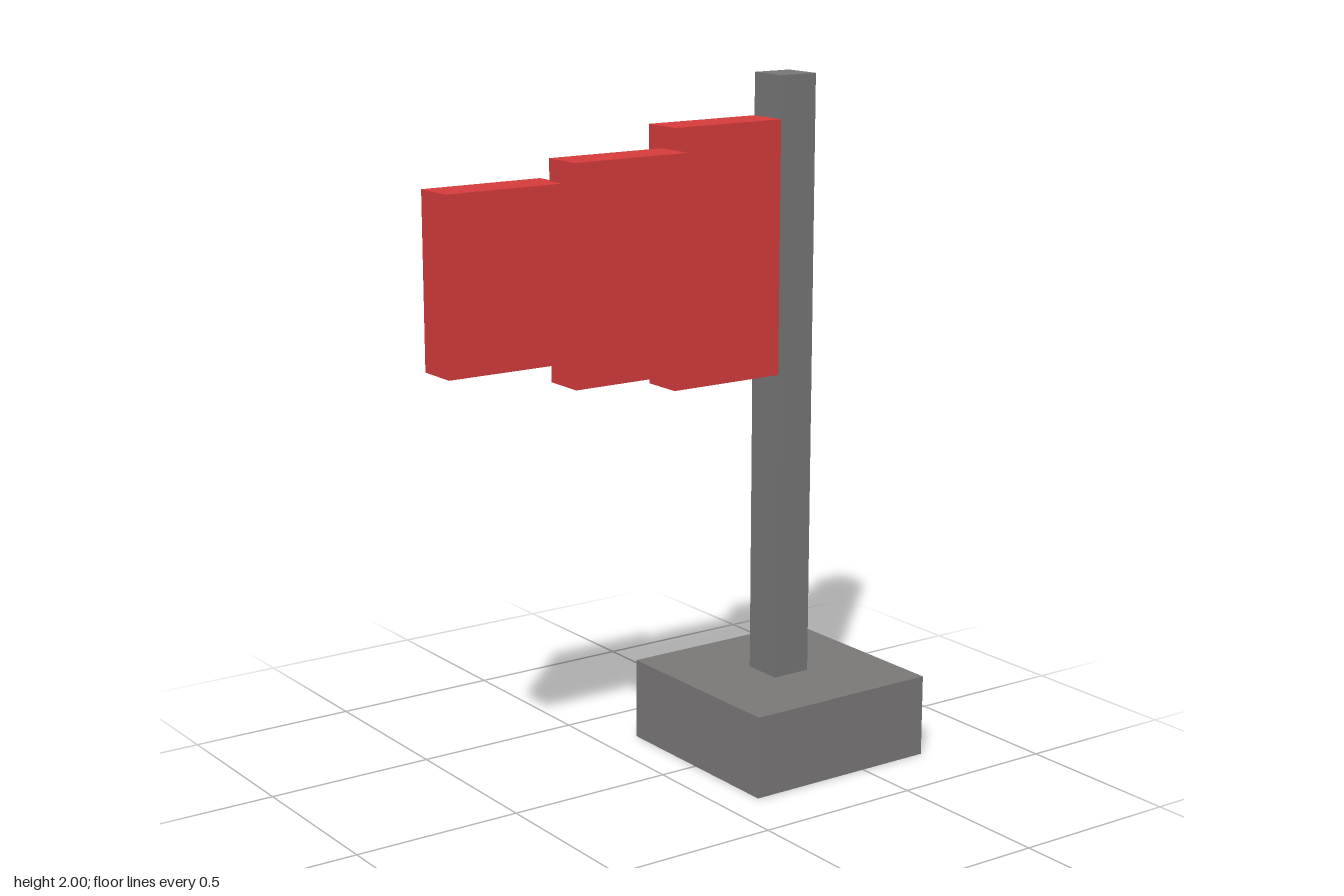
import * as THREE from 'three';

const BASE_GREY = new THREE.MeshStandardMaterial({ color: 0x7b7878 });
const POLE_GREY = new THREE.MeshStandardMaterial({ color: 0x777777 });
const RED = new THREE.MeshStandardMaterial({ color: 0xd63c3c });

// Box given by its [min, max] range along each axis
function box(name, material, [x0, x1], [y0, y1], [z0, z1]) {
  const mesh = new THREE.Mesh(new THREE.BoxGeometry(x1 - x0, y1 - y0, z1 - z0), material);
  mesh.position.set((x0 + x1) / 2, (y0 + y1) / 2, (z0 + z1) / 2);
  mesh.name = name;
  return mesh;
}

export function createModel() {
  const model = new THREE.Group();
  model.name = 'flagStand';

  // Square foot and upright pole
  model.add(box('base', BASE_GREY, [-0.303, 0.303], [0, 0.242], [-0.722, -0.116]));
  model.add(box('pole', POLE_GREY, [-0.061, 0.061], [0.242, 2], [-0.48, -0.359]));

  // Waving flag: three panels, shrinking and stepping sideways away from the pole
  const flag = new THREE.Group();
  flag.name = 'flag';
  const centreY = 1.515, length = 0.364;
  [
    { x: 0, z: -0.361, height: 0.727 },
    { x: 0.061, z: 0.003, height: 0.606 },
    { x: 0, z: 0.357, height: 0.485 },
  ].forEach(({ x, z, height }, i) => {
    flag.add(box(`flagPanel${i + 1}`, RED, [x - 0.061, x + 0.061],
      [centreY - height / 2, centreY + height / 2], [z, z + length]));
  });
  model.add(flag);

  return model;
}
